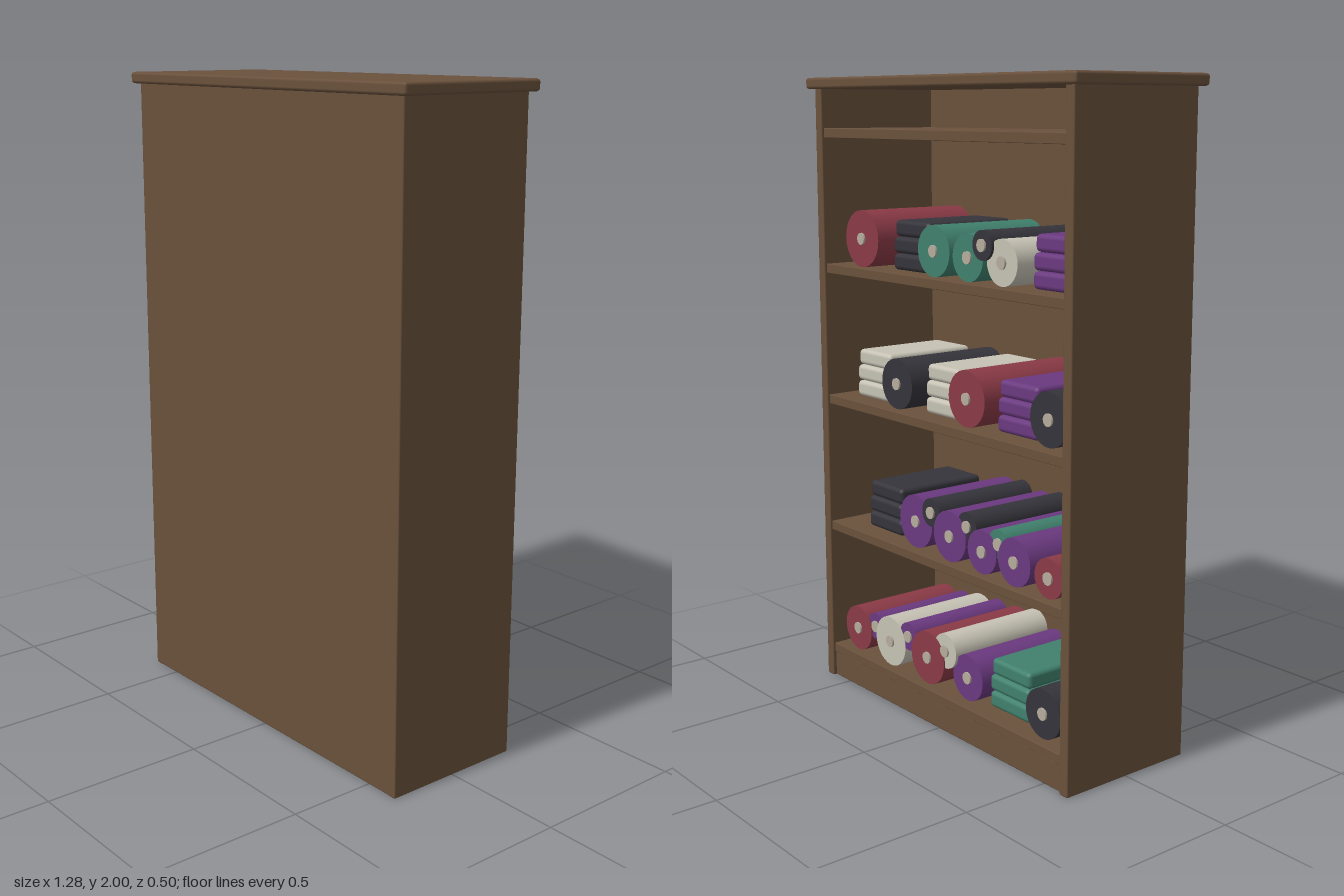
import * as THREE from 'three';
import { RoundedBoxGeometry } from 'three/addons/geometries/RoundedBoxGeometry.js';

const material = (name, color) => {
  const m = new THREE.MeshStandardMaterial({ color });
  m.name = name;
  return m;
};

export function createModel() {
  const wood = material('wood', 0x6a513c);
  const core = material('cardboard core', 0xb5ac9c);
  const cloth = {
    red: material('red cloth', 0x8a3a46),
    black: material('black cloth', 0x35343b),
    teal: material('teal cloth', 0x40806c),
    white: material('white cloth', 0xc6c2b4),
    purple: material('purple cloth', 0x6a397f),
  };

  const model = new THREE.Group();
  model.name = 'fabricCabinet';

  const add = (name, geometry, mat, x, y, z, parent = model) => {
    const mesh = new THREE.Mesh(geometry, mat);
    mesh.name = name;
    mesh.position.set(x, y, z);
    parent.add(mesh);
    return mesh;
  };

  // Board given by its extents, with softly bevelled edges
  const board = (name, x0, x1, y0, y1, z0, z1, bevel = 0.004) =>
    add(name, new RoundedBoxGeometry(x1 - x0, y1 - y0, z1 - z0, 1, bevel), wood,
      (x0 + x1) / 2, (y0 + y1) / 2, (z0 + z1) / 2);

  // Cabinet: open towards -z
  board('leftSide', 0.58, 0.615, 0, 1.97, -0.23, 0.23);
  board('rightSide', -0.615, -0.58, 0, 1.97, -0.23, 0.23);
  board('rearPanel', -0.613, 0.613, 0.001, 1.97, 0.205, 0.23);
  board('plinth', -0.59, 0.59, 0, 0.085, -0.218, 0.215);
  board('topBoard', -0.64, 0.64, 1.965, 2, -0.25, 0.25, 0.009);

  const shelfTops = [0.115, 0.547, 0.979, 1.411, 1.843];
  for (const y of shelfTops) board('shelf', -0.585, 0.585, y - 0.03, y, -0.222, 0.21, 0.002);

  // Rolled bolt of cloth around a tube; y is the centre height above its shelf
  const roll = (shelf, color, x, y, r, front = -0.19) => {
    const group = new THREE.Group();
    group.name = 'clothRoll';
    group.position.set(x, shelfTops[shelf] + y, (front + 0.185) / 2);
    model.add(group);
    const length = 0.185 - front;
    const body = new THREE.CylinderGeometry(r, r, length, 28).rotateX(Math.PI / 2);
    add('rolledCloth', body, cloth[color], 0, 0, 0, group);
    const tube = new THREE.CylinderGeometry(0.019, 0.019, length + 0.012, 16).rotateX(Math.PI / 2);
    add('coreTube', tube, core, 0, 0, 0, group);
  };

  // Three folded lengths of cloth, slightly staggered
  const stack = (shelf, color, x, width = 0.185) => {
    const group = new THREE.Group();
    group.name = 'foldedCloth';
    group.position.set(x, shelfTops[shelf], 0.012);
    model.add(group);
    for (let i = 0; i < 3; i++) {
      const fold = new RoundedBoxGeometry(width - i * 0.004, 0.051, 0.335 - i * 0.005, 2, 0.014);
      add('fold', fold, cloth[color], (i % 2) * 0.004, 0.0255 + i * 0.052, 0, group);
    }
  };

  // Shelf index, colour, x, centre height, radius, front end
  const rolls = [
    [0, 'red', 0.48, 0.075, 0.075],
    [0, 'purple', 0.385, 0.105, 0.045, -0.186],
    [0, 'white', 0.292, 0.082, 0.082, -0.192],
    [0, 'purple', 0.194, 0.125, 0.046, -0.191],
    [0, 'red', 0.089, 0.086, 0.086, -0.193],
    [0, 'white', 0.002, 0.132, 0.056, -0.189],
    [0, 'purple', -0.1, 0.073, 0.073, -0.18],
    [0, 'black', -0.459, 0.076, 0.076, -0.186],
    [1, 'purple', 0.155, 0.085, 0.085, -0.185],
    [1, 'black', 0.069, 0.132, 0.045],
    [1, 'purple', -0.032, 0.08, 0.08, -0.195],
    [1, 'black', -0.111, 0.127, 0.045],
    [1, 'purple', -0.189, 0.068, 0.068, -0.195],
    [1, 'teal', -0.26, 0.107, 0.045],
    [1, 'purple', -0.341, 0.073, 0.073, -0.198],
    [1, 'red', -0.486, 0.06, 0.06, -0.193],
    [2, 'black', 0.241, 0.08, 0.08],
    [2, 'red', -0.111, 0.086, 0.086],
    [2, 'black', -0.468, 0.08, 0.08, -0.18],
    [3, 'red', 0.417, 0.09, 0.09, -0.193],
    [3, 'teal', 0.045, 0.078, 0.078],
    [3, 'teal', -0.119, 0.071, 0.071],
    [3, 'black', -0.193, 0.112, 0.044, -0.196],
    [3, 'white', -0.272, 0.068, 0.068, -0.187],
  ];
  rolls.forEach((r) => roll(...r));

  const stacks = [
    [0, 'teal', -0.268], [1, 'black', 0.367], [2, 'white', 0.422], [2, 'white', 0.058, 0.165],
    [2, 'purple', -0.3, 0.18], [3, 'black', 0.21], [3, 'purple', -0.458],
  ];
  stacks.forEach((s) => stack(...s));

  return model;
}
